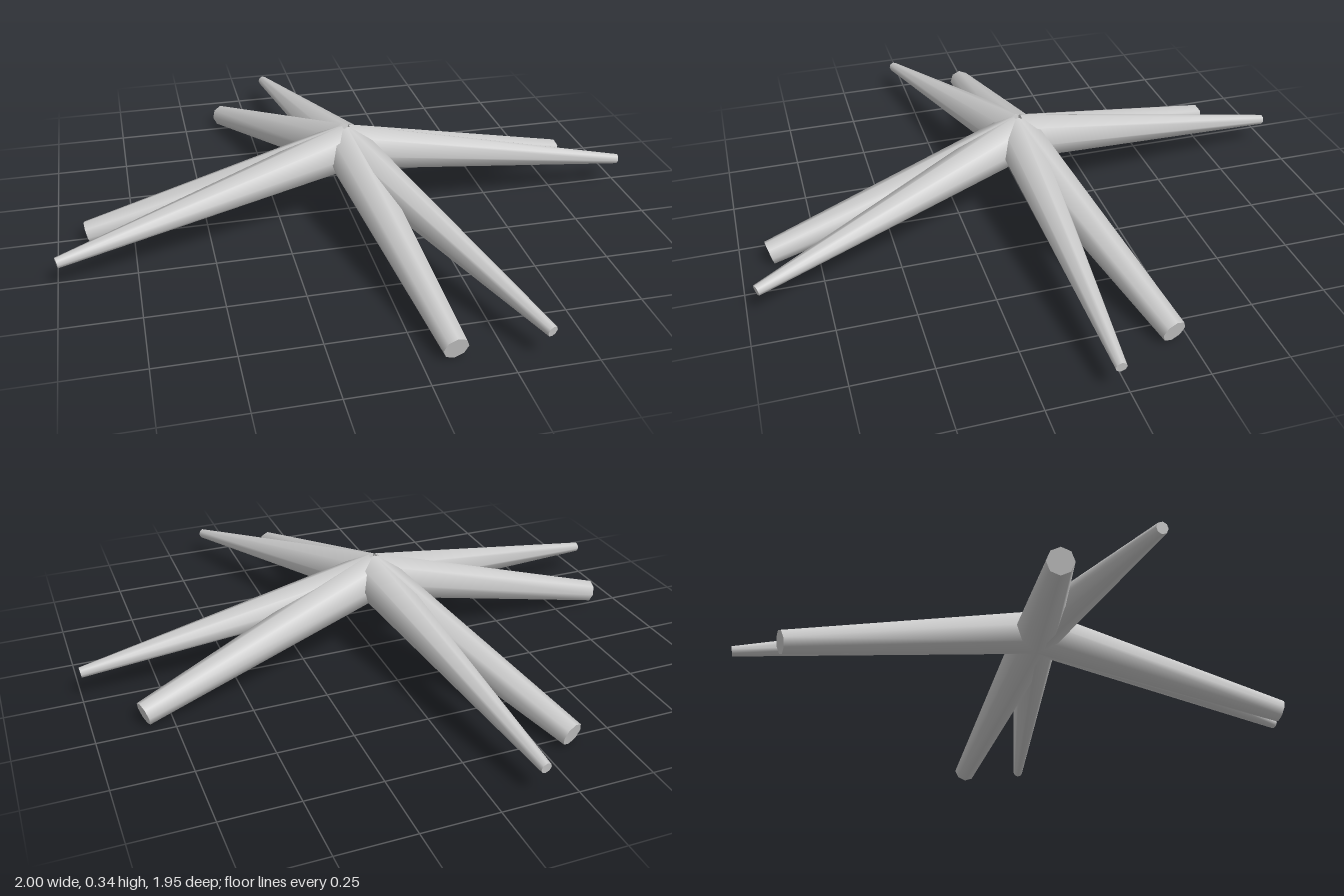
import * as THREE from 'three';

export function createModel() {
  const group = new THREE.Group();
  const material = new THREE.MeshStandardMaterial({ color: 0xcccccc, side: THREE.DoubleSide });
  const hub = new THREE.Vector3(-0.02, 0.265, 0.03);

  // Tapered eight-sided spoke running from the hub out and down to a tip
  function addSpoke(name, tipRadius, x, y, z) {
    const tip = new THREE.Vector3(x, y, z);
    const length = hub.distanceTo(tip);
    const geometry = new THREE.CylinderGeometry(tipRadius, 0.08, length, 8);
    geometry.translate(0, length / 2, 0).rotateX(Math.PI / 2);
    const mesh = new THREE.Mesh(geometry, material);
    mesh.name = name;
    mesh.position.copy(hub);
    mesh.lookAt(tip);
    group.add(mesh);
  }

  // Thin, longer spokes: right, left, back, front
  const thinTips = [[0.995, 0.028], [-0.995, 0.285], [-0.148, -0.977], [0.362, 0.962]];
  thinTips.forEach(([x, z], i) => addSpoke('thinSpoke' + (i + 1), 0.018, x, 0.098, z));

  // Thick, lower spokes: left, right, back, front
  const thickTips = [[-0.9, 0.025], [0.84, -0.2], [-0.348, -0.79], [0.1, 0.905]];
  thickTips.forEach(([x, z], i) => addSpoke('thickSpoke' + (i + 1), 0.04, x, 0.042, z));

  return group;
}
